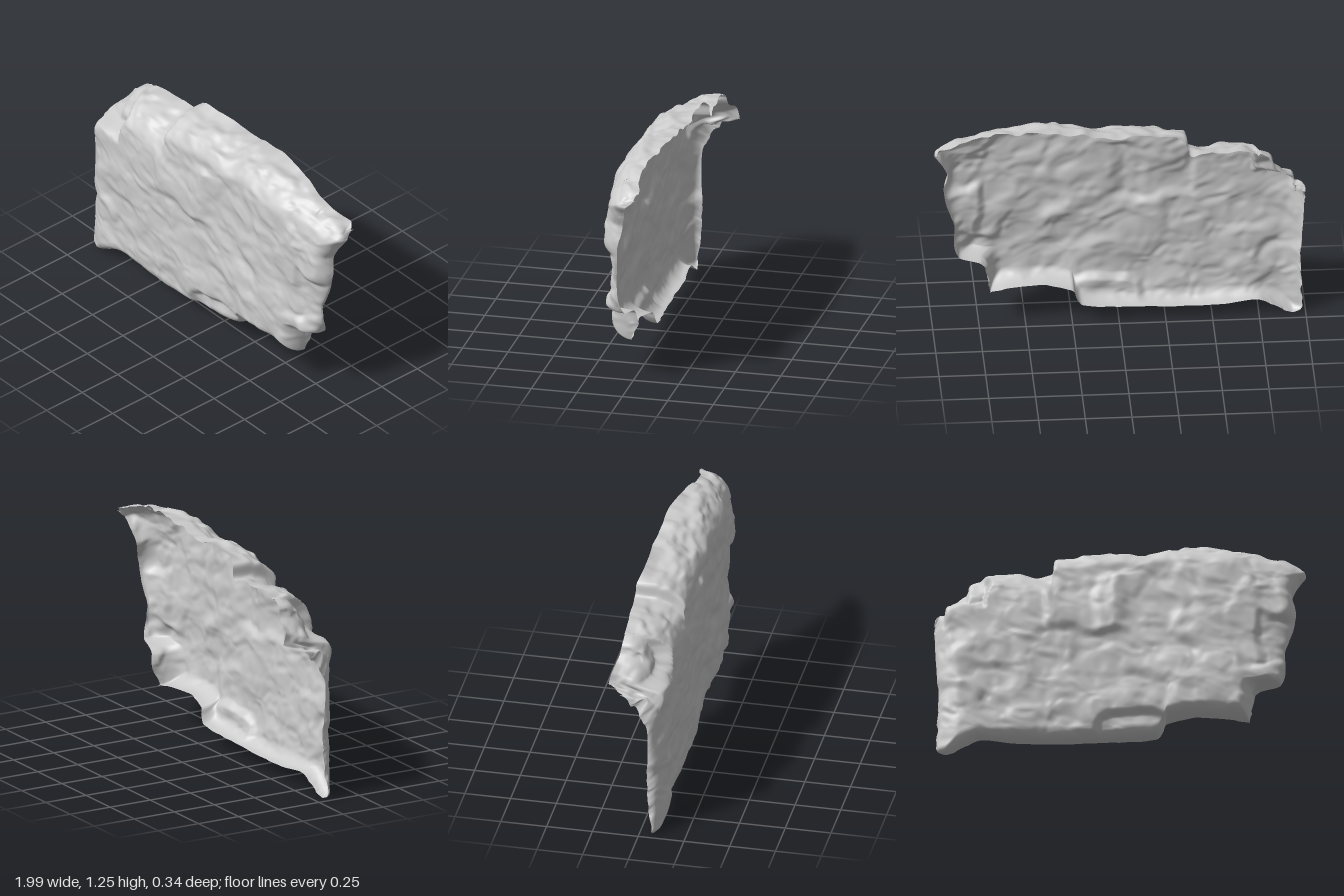
import * as THREE from 'three';

const COLS = 230, ROWS = 150;

// Smooth curve through a few rim points
const rim = (pts) => new THREE.CatmullRomCurve3(pts.map((p) => new THREE.Vector3(...p)), false, 'catmullrom', 0.3);

// Open rim of the shell, each point x, y, z
const bottomRim = rim([
  [-0.985, 0.03, 0.07], [-0.97, 0.01, 0.065], [-0.93, 0, 0.06], [-0.87, 0.03, 0.055], [-0.75, 0.09, 0.05],
  [-0.6, 0.08, 0.04], [-0.35, 0.07, 0.04], [-0.1, 0.085, 0.03], [0.1, 0.1, 0.01], [0.2, 0.12, 0],
  [0.23, 0.16, 0.01], [0.25, 0.2, 0.02], [0.4, 0.225, 0.05], [0.6, 0.22, 0.03], [0.69, 0.205, 0.03]]);
const topRim = rim([
  [-0.99, 0.85, -0.07], [-0.94, 0.87, -0.17], [-0.925, 0.95, -0.16], [-0.83, 1.0, -0.14], [-0.8, 1.06, -0.13],
  [-0.7, 1.1, -0.13], [-0.55, 1.11, -0.14], [-0.37, 1.11, -0.15], [-0.35, 1.19, -0.14], [-0.2, 1.21, -0.13],
  [0, 1.225, -0.13], [0.1, 1.215, -0.13], [0.25, 1.245, -0.12], [0.36, 1.255, -0.115], [0.6, 1.23, -0.08],
  [0.72, 1.21, -0.05], [0.85, 1.18, -0.05], [0.95, 1.145, -0.08], [0.99, 1.125, -0.04]]);
const leftRim = rim([
  [-0.985, 0.03, 0.07], [-0.98, 0.2, 0.05], [-0.97, 0.38, 0.04], [-0.985, 0.45, 0.05], [-0.99, 0.62, 0.05],
  [-0.995, 0.72, 0.02], [-0.995, 0.78, -0.03], [-0.99, 0.85, -0.07]]);
const rightRim = rim([
  [0.69, 0.205, 0.03], [0.71, 0.3, -0.01], [0.72, 0.37, -0.01], [0.75, 0.4, 0], [0.86, 0.42, 0.03], [0.885, 0.5, 0.05],
  [0.88, 0.6, 0.06], [0.92, 0.72, 0.05], [0.94, 0.83, 0.04], [0.925, 0.95, 0.02], [0.97, 1.04, 0],
  [0.995, 1.08, -0.01], [0.99, 1.125, -0.04]]);

// Seeded value noise
function hash(i, j) {
  let h = Math.imul(i, 374761393) + Math.imul(j, 668265263);
  h = Math.imul(h ^ (h >>> 13), 1274126177);
  return ((h ^ (h >>> 16)) >>> 0) / 2147483648 - 1;
}
function noise(x, y) {
  const i = Math.floor(x), j = Math.floor(y);
  const s = THREE.MathUtils.smootherstep(x - i, 0, 1), t = THREE.MathUtils.smootherstep(y - j, 0, 1);
  const { lerp } = THREE.MathUtils;
  return lerp(lerp(hash(i, j), hash(i + 1, j), s), lerp(hash(i, j + 1), hash(i + 1, j + 1), s), t);
}

const step = (x, edge, w) => THREE.MathUtils.smoothstep(x, edge - w, edge + w);
const box = (x, y, x0, x1, y0, y1, w) =>
  step(x, x0, w) * (1 - step(x, x1, w)) * step(y, y0, w) * (1 - step(y, y1, w));
const dome = (x, y, cx, cy, rx, ry) => Math.exp(-(((x - cx) / rx) ** 2) - ((y - cy) / ry) ** 2);

// Depth of the weathered front face
function faceDepth(px, py) {
  const x = px + 0.03 * noise(px * 9, py * 9 + 40);
  const y = py + 0.03 * noise(px * 7 + 20, py * 11);
  const along = x * 0.85 - y * 0.5, across = x * 0.5 + y * 0.85;   // slanted bedding
  let z = 0.134 - 0.03 * Math.abs(px) ** 6;
  z += 0.009 * noise(along * 4 + 5, across * 6);
  z += 0.008 * noise(along * 9, across * 13 + 9);
  z += 0.004 * noise(along * 18 + 3, across * 30);
  z += 0.018 * dome(x, y, 0.5, 0.38, 0.3, 0.2);            // lower right bulge
  z += 0.012 * dome(x, y, -0.85, 0.3, 0.12, 0.3);          // lower left bulge
  z -= 0.1 * box(x, y, -2, -0.72, 0.87, 2, 0.02);          // set-back left shoulder
  z -= 0.015 * box(x, y, -0.72, -0.37, 1.0, 2, 0.04);      // upper left ledge
  z += 0.012 * box(x, y, -0.4, 0, 0.72, 0.95, 0.03);       // overhanging shelf
  z += 0.014 * box(x, y, -0.15, 0.04, 0.7, 1.03, 0.03);    // raised block
  z -= 0.03 * box(x, y, -0.12, 0.27, -1, 0.22, 0.025);     // undercut at the foot
  z -= 0.025 * box(x, y, 0.74, 2, 0.5, 0.8, 0.03);         // broken right side
  z -= 0.015 * box(x, y, 0.69, 2, 0.98, 2, 0.03);          // upper right slab
  return z;
}

// How far the surface has rolled back at distance d from a rim
const roll = (d, radius, drop) => {
  const t = Math.max(0, 1 - d / radius);
  return Math.max(0, drop) * (1 - Math.sqrt(1 - t * t));
};

function rockGeometry() {
  const spread = (n) => Array.from({ length: n + 1 }, (_, i) =>
    0.35 * i / n + 0.65 * (0.5 - 0.5 * Math.cos(Math.PI * i / n)));  // denser near the rims
  const us = spread(COLS), vs = spread(ROWS);
  const B = us.map((u) => bottomRim.getPointAt(u)), T = us.map((u) => topRim.getPointAt(u));
  const L = vs.map((v) => leftRim.getPointAt(v)), R = vs.map((v) => rightRim.getPointAt(v));
  const flat = (p, q) => Math.hypot(p.x - q.x, p.y - q.y);
  const position = [], index = [];

  vs.forEach((v, j) => us.forEach((u, i) => {
    // Patch spanned by the four rims
    const p = new THREE.Vector3()
      .addScaledVector(B[i], 1 - v).addScaledVector(T[i], v)
      .addScaledVector(L[j], 1 - u).addScaledVector(R[j], u)
      .addScaledVector(B[0], -(1 - u) * (1 - v)).addScaledVector(B[COLS], -u * (1 - v))
      .addScaledVector(T[0], -(1 - u) * v).addScaledVector(T[COLS], -u * v);
    const z = faceDepth(p.x, p.y);
    const drops = [
      roll(flat(p, T[i]), 0.14, z - T[i].z), roll(flat(p, B[i]), 0.07, z - B[i].z),
      roll(flat(p, L[j]), 0.13, z - L[j].z), roll(flat(p, R[j]), 0.09, z - R[j].z)];
    const back = Math.pow(drops.reduce((s, d) => s + d ** 4, 0), 0.25);
    // Lumps and strata on the rolled rims
    const lump = Math.min(1, back / 0.06) * (0.012 * noise(p.x * 11, back * 16 + p.y * 9)
      + 0.006 * noise(p.x * 20 + 7, back * 20 + p.y * 26));
    const inward = (u < 0.15 ? 1 : u > 0.9 ? -1 : 0) * Math.min(1, Math.abs(lump) * 100);
    position.push(p.x + inward * Math.abs(lump), Math.max(0, p.y + lump * Math.max(0, v * 2 - 1)), z - back + lump * 0.5);
    if (i < COLS && j < ROWS) {
      const a = j * (COLS + 1) + i, c = a + COLS + 1;
      index.push(a, a + 1, c + 1, a, c + 1, c);
    }
  }));

  const g = new THREE.BufferGeometry();
  g.setAttribute('position', new THREE.Float32BufferAttribute(position, 3));
  g.setIndex(index);
  g.computeVertexNormals();
  return g;
}

export function createModel() {
  const group = new THREE.Group();
  group.name = 'rockFace';
  const shell = new THREE.Mesh(rockGeometry(),
    new THREE.MeshStandardMaterial({ color: 0xcccccc, side: THREE.DoubleSide }));
  shell.name = 'rockShell';
  group.add(shell);
  return group;
}
